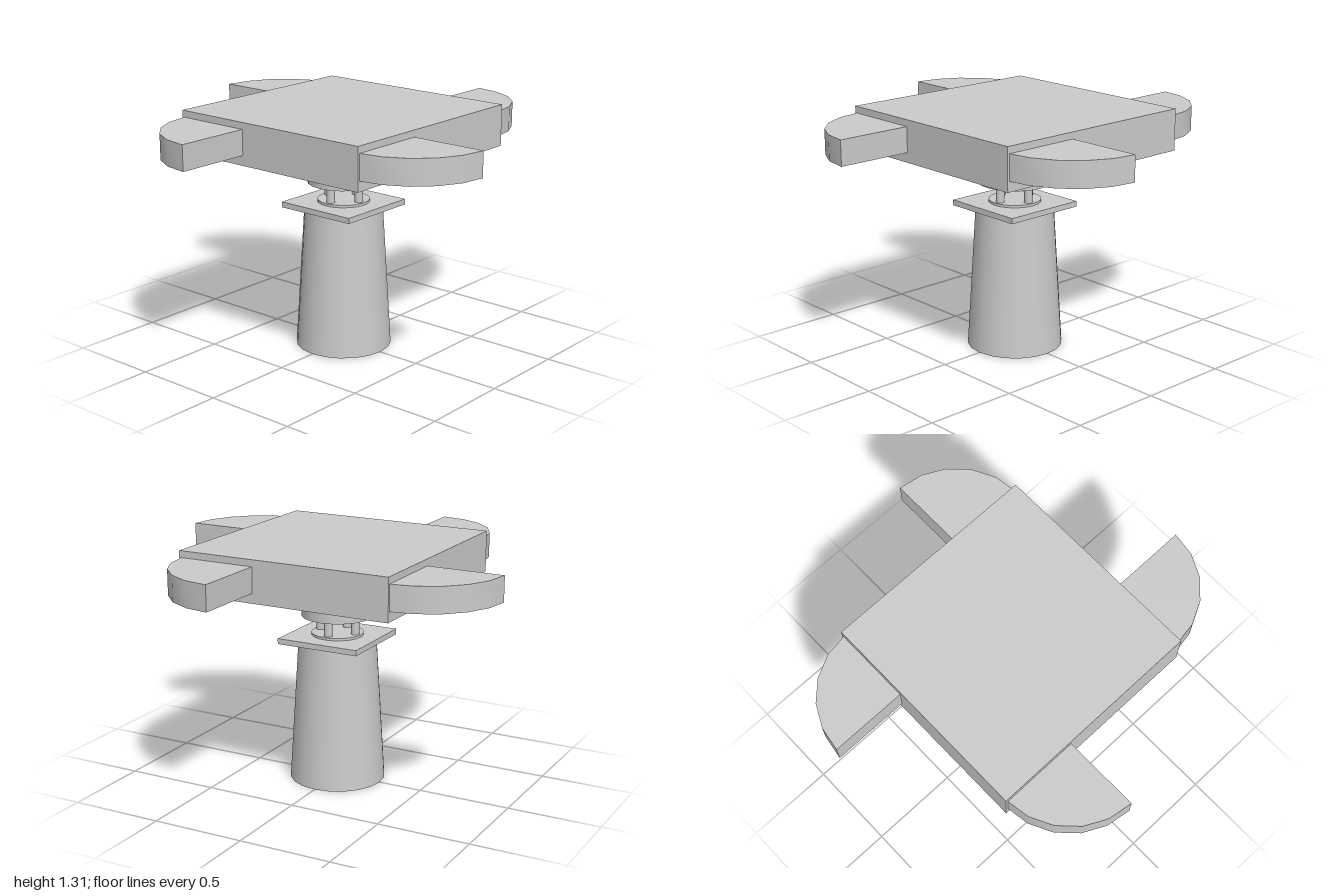
import * as THREE from 'three';
import { toCreasedNormals } from 'three/addons/utils/BufferGeometryUtils.js';

const SIDES = 20;

export function createModel() {
  const model = new THREE.Group();
  model.name = 'table';
  const material = new THREE.MeshStandardMaterial({ color: 0xcccccc });

  const add = (name, geometry, x = 0, y = 0, z = 0) => {
    const mesh = new THREE.Mesh(geometry, material);
    mesh.name = name;
    mesh.position.set(x, y, z);
    model.add(mesh);
    return mesh;
  };
  // Upright cylinder and box given by their lower and upper heights
  const disc = (name, rTop, rBottom, y0, y1, x = 0, z = 0) =>
    add(name, new THREE.CylinderGeometry(rTop, rBottom, y1 - y0, SIDES), x, (y0 + y1) / 2, z);
  const slab = (name, width, y0, y1) =>
    add(name, new THREE.BoxGeometry(width, y1 - y0, width), 0, (y0 + y1) / 2, 0);

  // Tapered pedestal and its square cap
  disc('pedestal', 0.21, 0.258, 0, 0.77);
  slab('pedestalCap', 0.465, 0.77, 0.8);

  // Neck: two flanges, a middle collar and four small columns
  disc('lowerFlange', 0.14, 0.14, 0.8, 0.813);
  disc('collar', 0.193, 0.193, 0.905, 0.975);
  disc('upperFlange', 0.14, 0.14, 1.058, 1.08);
  for (let i = 0; i < 4; i++) {
    const a = (i * Math.PI) / 2;
    disc('neckColumn', 0.022, 0.022, 0.81, 1.06, 0.105 * Math.cos(a), 0.105 * Math.sin(a));
  }

  // Square top
  slab('tableTop', 1.182, 1.082, 1.306);

  // Quarter-round leaf, repeated on each side in a pinwheel
  const points = [new THREE.Vector2(-0.16, 0.58)];
  for (let i = 0; i <= 5; i++) {
    const a = Math.PI / 2 + (i * Math.PI) / 10;
    points.push(new THREE.Vector2(-0.16 + 0.42 * Math.cos(a), 0.58 + 0.42 * Math.sin(a)));
  }
  const extruded = new THREE.ExtrudeGeometry(new THREE.Shape(points), { depth: 0.135, bevelEnabled: false });
  extruded.rotateX(Math.PI / 2);
  const leaf = toCreasedNormals(extruded, 0.6);
  for (let i = 0; i < 4; i++) {
    add('sideLeaf', leaf, 0, 1.27, 0).rotation.y = (i * Math.PI) / 2;
  }

  return model;
}
